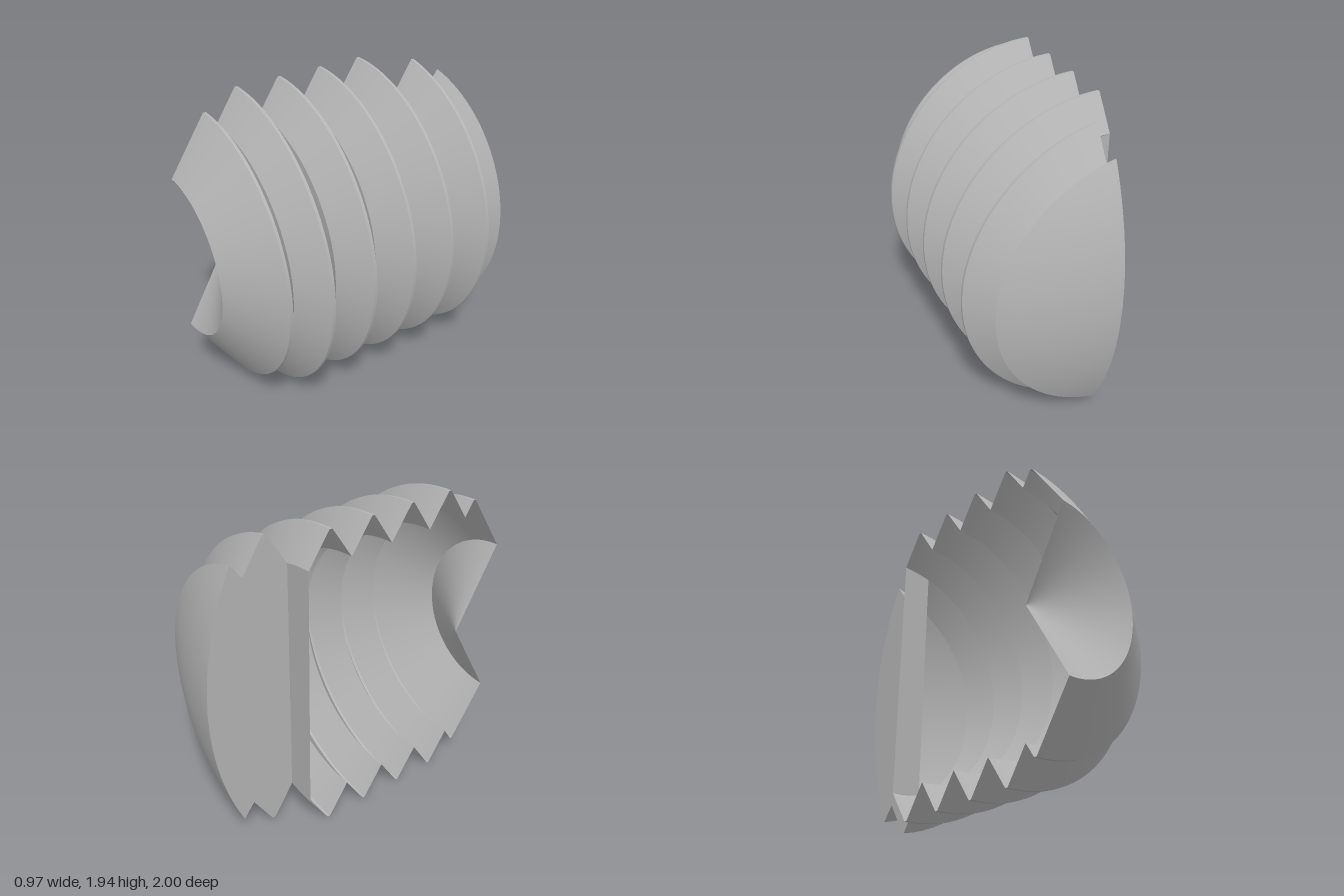
import * as THREE from 'three';
import { mergeGeometries } from 'three/addons/utils/BufferGeometryUtils.js';

const AXIS_X = -0.485, AXIS_Y = 0.972;  // axis of revolution, parallel to z
const NOTCH = 0.186;                    // how far the rear is cut back from the axis
const STEP_Z = -0.455;                  // where the notch ends
const CREST = 0.972, ROOT = 0.775, END = 0.865;
const FLAT = 0.009;                     // half-width of each blunt crest

// Smooth partial revolution of [radius, z] points, clipped at a distance from the axis
function revolve(points, cut, segments = 96) {
  const pos = [], index = [];
  for (const [r, z] of points) {
    const a = r > 0 ? Math.acos(Math.min(1, cut / r)) : Math.PI / 2;
    for (let i = 0; i <= segments; i++) {
      const t = -a + (2 * a * i) / segments;
      pos.push(r * Math.cos(t), r * Math.sin(t), z);
    }
  }
  const row = segments + 1;
  for (let j = 0; j < points.length - 1; j++) {
    for (let i = 0; i < segments; i++) {
      const a = j * row + i, b = a + 1, c = b + row, d = a + row;
      index.push(a, b, c, a, c, d);
    }
  }
  const g = new THREE.BufferGeometry();
  g.setAttribute('position', new THREE.Float32BufferAttribute(pos, 3));
  g.setIndex(index);
  g.computeVertexNormals();
  return g;
}

// Straight profile segments, each its own band so the edges stay sharp
function ridged(points, cut) {
  return mergeGeometries(points.slice(1).map((p, i) => revolve([points[i], p], cut)));
}

const crest = (r, z) => [[r, z - FLAT], [r, z + FLAT]];

export function createModel() {
  const group = new THREE.Group();
  group.name = 'ridgedHalfBody';
  const grey = new THREE.MeshStandardMaterial({ color: 0xb4b4b4, side: THREE.DoubleSide });
  grey.name = 'plain grey';

  const add = (name, geometry) => {
    const mesh = new THREE.Mesh(geometry, grey);
    mesh.name = name;
    mesh.position.set(AXIS_X, AXIS_Y, 0);
    group.add(mesh);
  };

  // Domed rear end, a shallow spherical cap
  const R = 1.96, centre = -1 + Math.sqrt(R * R - NOTCH * NOTCH);
  const dome = [];
  for (let i = 0; i <= 16; i++) {
    const r = NOTCH + ((END - NOTCH) * i) / 16;
    dome.push([r, centre - Math.sqrt(R * R - r * r)]);
  }
  add('rearDome', revolve(dome, NOTCH));

  // Rear ridge, cut back by the notch
  const rear = [dome[16], [ROOT, -0.737], ...crest(CREST, -0.597), [ROOT, STEP_Z]];
  add('rearRidge', ridged(rear, NOTCH));

  // Row of ridges along the main body, then the tapered nose
  const main = [[ROOT, STEP_Z]];
  for (let i = 0; i < 4; i++) {
    const z = -0.311 + i * 0.285;
    main.push(...crest(CREST, z), [ROOT, z + 0.143]);
  }
  main.push(...crest(END, 0.755), [0.515, 1]);
  add('mainRidges', ridged(main, 0));

  // Conical recess in the nose
  add('noseRecess', revolve([[0.515, 1], [0, 0.7]], 0));

  // Flat wall of the notch, following the rear profile
  const height = (r) => Math.sqrt(Math.max(0, r * r - NOTCH * NOTCH));
  const outline = [...dome, ...rear.slice(1)];
  const upper = outline.map(([r, z]) => new THREE.Vector2(z, height(r)));
  const lower = outline.slice(1).reverse().map(([r, z]) => new THREE.Vector2(z, -height(r)));
  const wall = new THREE.ShapeGeometry(new THREE.Shape([...upper, ...lower]));
  add('notchWall', wall.rotateY(-Math.PI / 2).translate(NOTCH, 0, 0));

  // Narrow step face closing the end of the notch
  const h = height(ROOT);
  const step = new THREE.ShapeGeometry(new THREE.Shape([
    new THREE.Vector2(0, -ROOT), new THREE.Vector2(0, ROOT),
    new THREE.Vector2(-NOTCH, h), new THREE.Vector2(-NOTCH, -h),
  ]));
  add('notchStep', step.rotateY(Math.PI).translate(0, 0, STEP_Z));

  return group;
}
